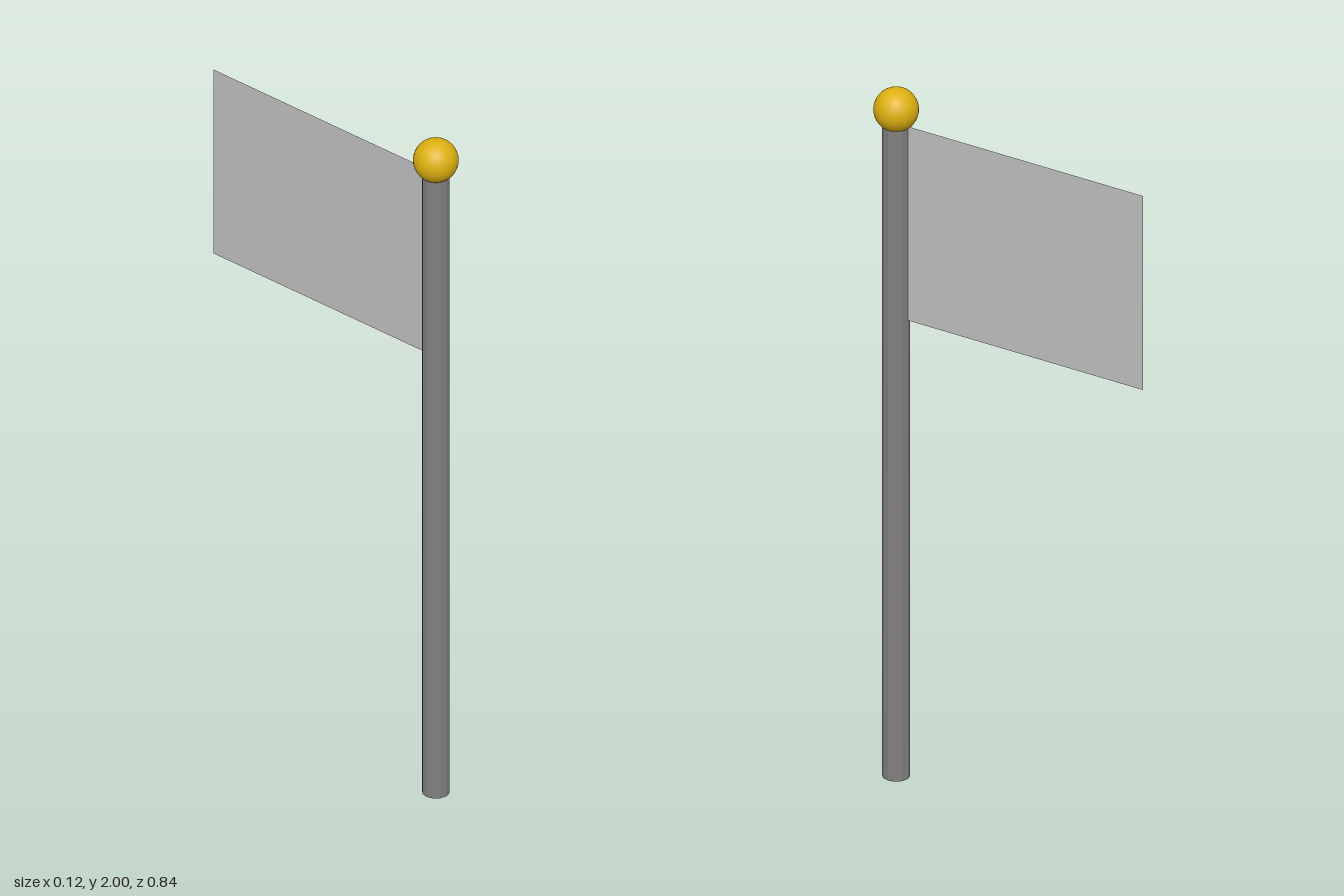
import * as THREE from 'three';

export function createModel() {
  const group = new THREE.Group();
  const material = (name, color) => {
    const m = new THREE.MeshStandardMaterial({ color });
    m.name = name;
    return m;
  };
  const poleGrey = material('poleGrey', 0x808080);
  poleGrey.flatShading = true;
  const flagGrey = material('flagGrey', 0xc0c0c0);
  flagGrey.side = THREE.DoubleSide;
  const gold = material('gold', 0xdcb010);

  const add = (name, geometry, mat, x, y, z) => {
    const mesh = new THREE.Mesh(geometry, mat);
    mesh.name = name;
    mesh.position.set(x, y, z);
    group.add(mesh);
    return mesh;
  };

  const poleZ = 0.36, poleRadius = 0.037, poleHeight = 1.9;

  // Faceted upright pole
  add('pole', new THREE.CylinderGeometry(poleRadius, poleRadius, poleHeight, 12),
    poleGrey, 0, poleHeight / 2, poleZ);

  // Ball on top of the pole
  add('finial', new THREE.SphereGeometry(0.06, 32, 20), gold, 0, 1.94, poleZ);

  // Flat flag sheet, flying backwards from the pole
  const flagStart = poleZ - poleRadius + 0.005, flagEnd = -0.42;
  const flagTop = 1.9, flagBottom = 1.335;
  const flag = add('flag', new THREE.PlaneGeometry(flagStart - flagEnd, flagTop - flagBottom),
    flagGrey, 0, (flagTop + flagBottom) / 2, (flagStart + flagEnd) / 2);
  flag.rotation.y = Math.PI / 2;

  return group;
}
